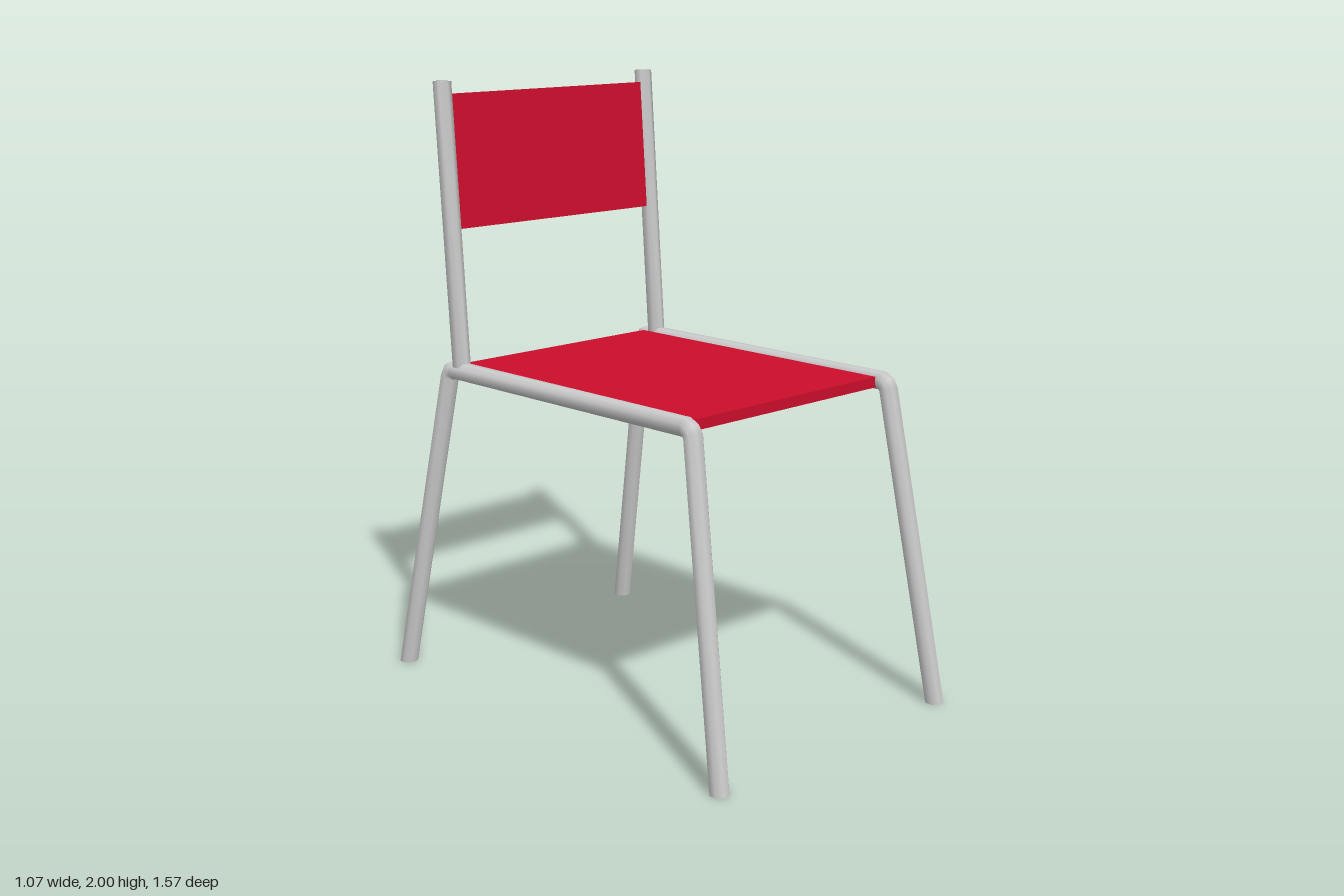
import * as THREE from 'three';

const metal = new THREE.MeshStandardMaterial({ name: 'grey metal', color: 0xcccccc });
const red = new THREE.MeshStandardMaterial({ name: 'red panel', color: 0xcc0e2c });

// Smooth closed tube along a path; the ends are cut horizontally where flat is set
function tube(points, sides, radius, flat) {
  const path = points.map((p) => new THREE.Vector3(...p));
  const last = path.length - 1;
  const pos = [];
  const index = [];
  path.forEach((c, i) => {
    const t = new THREE.Vector3();
    if (i > 0) t.add(c.clone().sub(path[i - 1]).normalize());
    if (i < last) t.add(path[i + 1].clone().sub(c).normalize());
    if (flat && (i === 0 || i === last)) t.set(0, Math.sign(t.y), 0);
    t.normalize();
    const u = new THREE.Vector3(1, 0, 0).addScaledVector(t, -t.x).normalize();
    const v = t.clone().cross(u);
    for (let j = 0; j < sides; j++) {
      const a = ((j + 0.5) / sides) * Math.PI * 2;
      const p = c.clone()
        .addScaledVector(u, Math.cos(a) * radius)
        .addScaledVector(v, Math.sin(a) * radius);
      pos.push(p.x, p.y, p.z);
    }
  });
  const start = (last + 1) * sides;
  pos.push(...path[0].toArray(), ...path[last].toArray());
  for (let j = 0; j < sides; j++) {
    const k = (j + 1) % sides;
    for (let i = 0; i < last; i++) {
      const a = i * sides;
      const b = a + sides;
      index.push(a + j, a + k, b + j, a + k, b + k, b + j);
    }
    index.push(start, k, j, start + 1, last * sides + j, last * sides + k);
  }
  const g = new THREE.BufferGeometry();
  g.setAttribute('position', new THREE.Float32BufferAttribute(pos, 3));
  g.setIndex(index);
  g.computeVertexNormals();
  return g;
}

export function createModel() {
  const chair = new THREE.Group();
  chair.name = 'chair';
  const add = (name, geometry, material) => {
    const m = new THREE.Mesh(geometry, material);
    m.name = name;
    chair.add(m);
    return m;
  };

  for (const [side, s] of [['left', 1], ['right', -1]]) {
    // Front leg, seat rail and back leg are one bent tube
    const x = 0.443 * s;
    const foot = 0.506 * s;
    add(side + 'LegFrame', tube([
      [foot, 0, 0.755],
      [x, 1.035, 0.578], [x, 1.051, 0.569], [x, 1.06, 0.55],
      [x, 1.06, -0.535], [x, 1.051, -0.554], [x, 1.035, -0.563],
      [foot, 0, -0.755],
    ], 8, 0.0315, true), metal);

    // Upright that carries the backrest
    add(side + 'BackPost', tube([
      [x, 1.06, -0.497], [x, 2, -0.565],
    ], 6, 0.03, true), metal);
  }

  // Seat panel between the rails
  const seat = add('seat', new THREE.BoxGeometry(0.84, 0.035, 1.083), red);
  seat.position.set(0, 1.0575, 0.0035);

  // Backrest panel, leaning with the posts
  const backrest = add('backrest', new THREE.BoxGeometry(0.84, 0.435, 0.024), red);
  backrest.position.set(0, 1.742, -0.547);
  backrest.rotation.x = -Math.atan2(0.068, 0.94);

  return chair;
}
